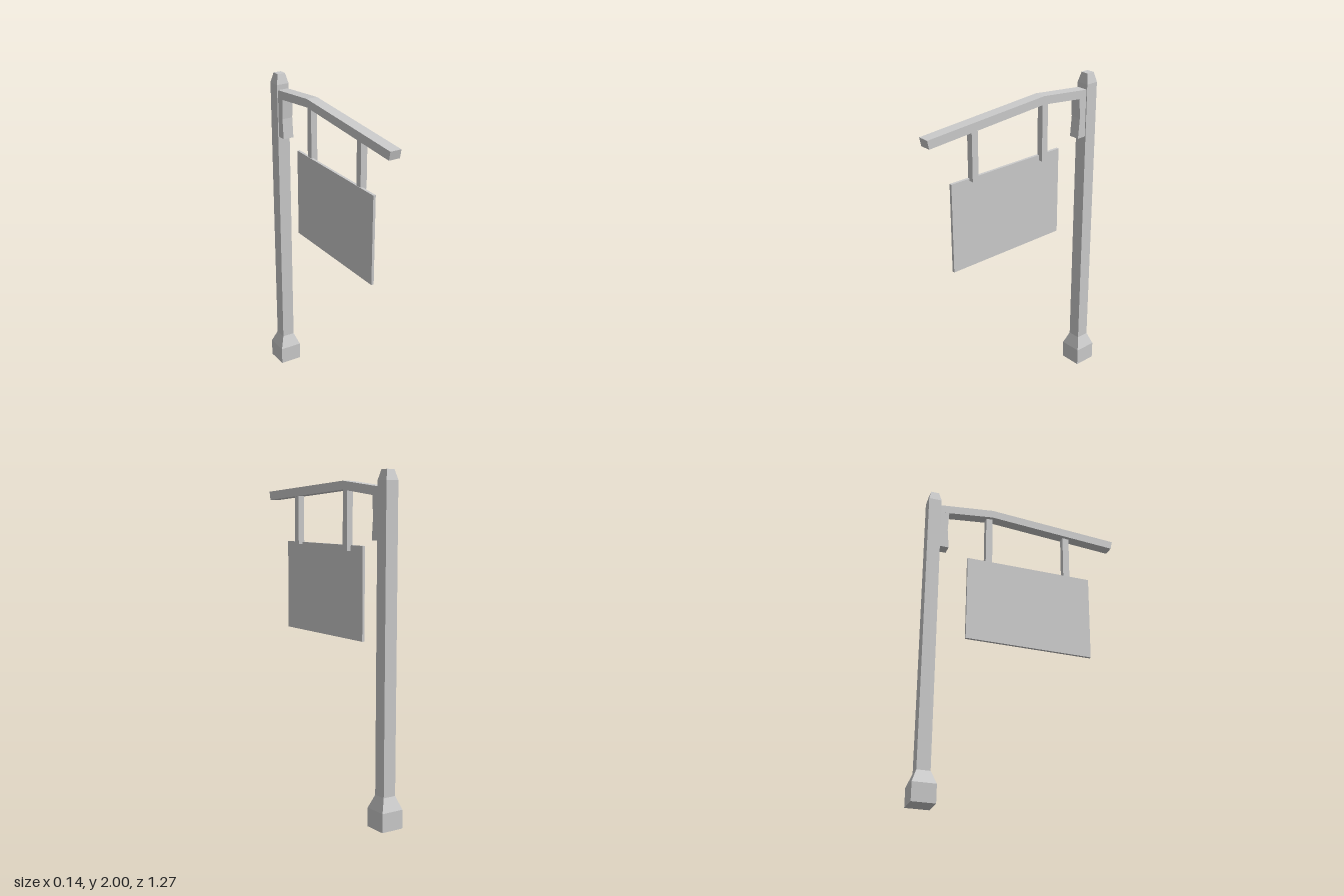
import * as THREE from 'three';

const material = new THREE.MeshStandardMaterial({ color: 0xcccccc, flatShading: true });
const POST_Z = -0.568;

function addMesh(parent, name, geometry, x = 0, y = 0, z = 0) {
  const mesh = new THREE.Mesh(geometry, material);
  mesh.name = name;
  mesh.position.set(x, y, z);
  parent.add(mesh);
}

// Side profile given as [z, y] points, extruded across x and centred on x = 0
function sideExtrude(points, width) {
  const shape = new THREE.Shape(points.map(([z, y]) => new THREE.Vector2(z, y)));
  return new THREE.ExtrudeGeometry(shape, { depth: width, bevelEnabled: false })
    .translate(0, 0, -width / 2)
    .rotateY(-Math.PI / 2);
}

// Square column from [half width, y] points, bottom to top
function squareColumn(profile) {
  const points = profile.map(([half, y]) => new THREE.Vector2(half * Math.SQRT2, y));
  return new THREE.LatheGeometry(points, 4, Math.PI / 4);
}

export function createModel() {
  const sign = new THREE.Group();
  sign.name = 'hangingSign';

  // Post with flared foot and chamfered top
  addMesh(sign, 'post', squareColumn([
    [0, 0], [0.07, 0], [0.07, 0.11], [0.04, 0.188],
    [0.04, 1.94], [0.025, 2], [0, 2],
  ]), 0, 0, POST_Z);

  // Bent arm, running into the post
  addMesh(sign, 'arm', sideExtrude([
    [-0.54, 1.907], [-0.54, 1.855], [-0.19, 1.894],
    [0.625, 1.836], [0.636, 1.888], [-0.19, 1.944],
  ].reverse(), 0.069));

  // Bracket under the arm with a slightly hollow front
  addMesh(sign, 'bracket', sideExtrude([
    [-0.54, 1.616], [-0.471, 1.616], [-0.481, 1.74], [-0.474, 1.865], [-0.54, 1.86],
  ], 0.068));

  // Hangers, set against one side of the board
  for (const [z, bottom, top] of [[0.315, 1.566, 1.87], [-0.204, 1.547, 1.905]]) {
    addMesh(sign, 'hanger', new THREE.BoxGeometry(0.04, top - bottom, 0.042),
      0.009, (top + bottom) / 2, z);
  }

  // Sign board
  addMesh(sign, 'board', new THREE.BoxGeometry(0.016, 0.545, 0.806), -0.006, 1.3075, 0.061);

  return sign;
}
